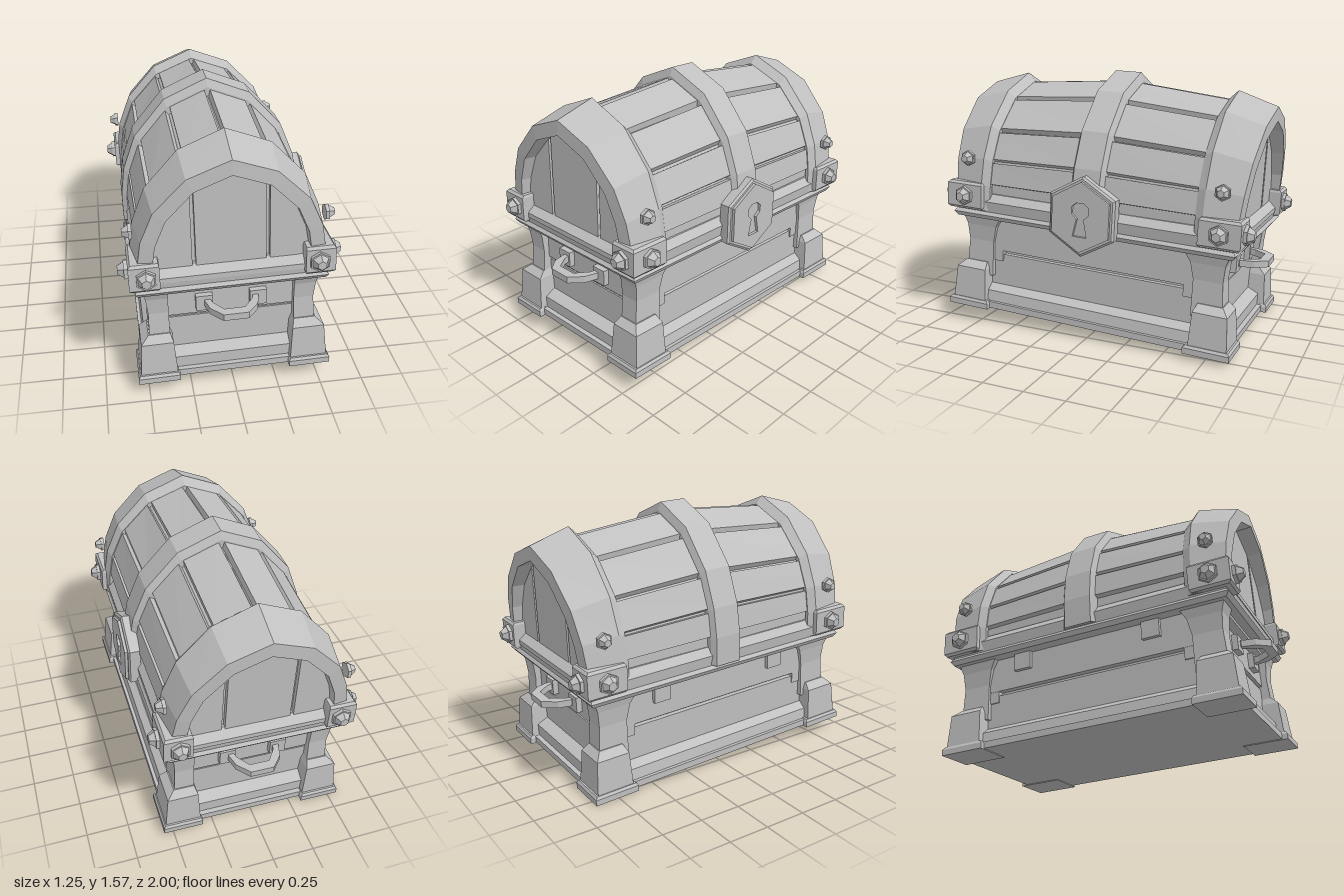
import * as THREE from 'three';

const grey = new THREE.MeshStandardMaterial({ color: 0xc0c0c0, flatShading: true });
grey.name = 'plain grey';

function add(parent, name, geometry, x = 0, y = 0, z = 0) {
  const m = new THREE.Mesh(geometry, grey);
  m.name = name;
  m.position.set(x, y, z);
  parent.add(m);
  return m;
}

// Box given by its two corners
function block(parent, name, [x0, y0, z0], [x1, y1, z1]) {
  return add(parent, name, new THREE.BoxGeometry(x1 - x0, y1 - y0, z1 - z0),
    (x0 + x1) / 2, (y0 + y1) / 2, (z0 + z1) / 2);
}

// Closed solid through rings of [x, y, z] points, turned so that faces look outward
function loft(rings) {
  const tris = [], n = rings[0].length;
  for (let r = 0; r + 1 < rings.length; r++) {
    for (let i = 0; i < n; i++) {
      const j = (i + 1) % n, a = rings[r], b = rings[r + 1];
      tris.push([a[i], a[j], b[j]], [a[i], b[j], b[i]]);
    }
  }
  const first = rings[0], last = rings[rings.length - 1];
  for (let i = 1; i + 1 < n; i++) {
    tris.push([first[0], first[i + 1], first[i]], [last[0], last[i], last[i + 1]]);
  }
  let volume = 0;
  const [a, b, c] = [0, 0, 0].map(() => new THREE.Vector3());
  for (const t of tris) volume += a.set(...t[0]).dot(b.set(...t[1]).cross(c.set(...t[2])));
  if (volume < 0) tris.forEach((t) => t.reverse());
  const g = new THREE.BufferGeometry();
  g.setAttribute('position', new THREE.Float32BufferAttribute(tris.flat(2), 3));
  g.computeVertexNormals();
  return g;
}

// Stack of rectangles [y, x0, x1, z0, z1]
const stack = (levels) => loft(levels.map(([y, x0, x1, z0, z1]) =>
  [[x0, y, z0], [x1, y, z0], [x1, y, z1], [x0, y, z1]]));

// Eight-sided lid arch: half width w, crown height top
const ARCH_X = [1, 1, 0.955, 0.81, 0.465, 0];
const ARCH_T = [-0.12, 0.1, 0.32, 0.585, 0.862, 1];
function arch(w, top) {
  const half = ARCH_X.map((x, i) => [w * x, 0.72 + (top - 0.72) * ARCH_T[i]]);
  return half.concat(half.slice(0, 5).reverse().map(([x, y]) => [-x, y]));
}

// Strap over the arch; profile rows are [z, width, top, outward lean]
function strap(profile) {
  const arches = profile.map(([, w, top]) => arch(w, top));
  return loft(arches[0].map((_, i) => profile.map(([z, , , lean = 0], k) => {
    const [x, y] = arches[k][i];
    return [x, y, z + lean * (y - 0.72)];
  })));
}

function extrude(points, depth, hole) {
  const s = new THREE.Shape(points.map(([x, y]) => new THREE.Vector2(x, y)));
  if (hole) s.holes.push(new THREE.Path(hole.map(([x, y]) => new THREE.Vector2(x, y))));
  return new THREE.ExtrudeGeometry(s, { depth, bevelEnabled: false });
}

// Hexagonal bolt whose axis points along local +z
function bolt(parent, r, x, y, z, turn) {
  const g = new THREE.Group();
  g.name = 'bolt';
  const parts = [['boltWasher', r, r, 0.02, 0.01], ['boltHead', r * 0.45, r * 0.85, 0.035, 0.037]];
  for (const [name, r0, r1, h, d] of parts) {
    add(g, name, new THREE.CylinderGeometry(r0, r1, h, 6).rotateX(Math.PI / 2), 0, 0, d);
  }
  g.position.set(x, y, z);
  g.rotation.y = turn;
  parent.add(g);
}

// Everything on one short end: strap, end boards, frame, handle, corners
function chestEnd() {
  const g = new THREE.Group();
  g.name = 'chestEnd';
  add(g, 'endStrap', strap([[0.66, 0.5, 1.37], [0.66, 0.522, 1.405], [0.71, 0.545, 1.455],
    [0.9, 0.515, 1.38, 0.08], [0.91, 0.435, 1.295, 0.08], [0.82, 0.43, 1.29]]));

  // Three upright boards closing the lid
  const y = 0.68;
  const mid = [[-0.195, y], [0.195, y], [0.195, 1.235], [0, 1.31], [-0.195, 1.235]];
  add(g, 'lidEndBoard', extrude(mid, 0.04), 0, 0, 0.82);
  const side = [[0.215, y], [0.45, y], [0.44, 0.92], [0.36, 1.08], [0.215, 1.23]];
  for (const s of [1, -1]) {
    const pts = side.map(([px, py]) => [px * s, py]);
    add(g, 'lidEndBoard', extrude(pts, 0.04), 0, 0, 0.82);
  }

  // Sloping sill under the boards
  add(g, 'lidSill', loft([-0.5, -0.2, 0.2, 0.5].map((x) => {
    const h = Math.abs(x) > 0.3 ? 0.745 : 0.715;
    return [[x, 0.66, 0.84], [x, 0.66, 0.905], [x, 0.69, 0.905], [x, h, 0.85]];
  })));

  // Lower frame and boards
  block(g, 'endBoardUpper', [-0.36, 0.37, 0.7], [0.36, 0.58, 0.8]);
  block(g, 'endBoardLower', [-0.36, 0.05, 0.7], [0.36, 0.35, 0.79]);
  add(g, 'endLowerRail', stack([[0.04, -0.36, 0.36, 0.74, 0.86],
    [0.115, -0.36, 0.36, 0.74, 0.86], [0.15, -0.36, 0.36, 0.74, 0.785]]));
  add(g, 'endUpperRail', stack([[0.53, -0.36, 0.36, 0.74, 0.8],
    [0.555, -0.36, 0.36, 0.74, 0.84], [0.59, -0.36, 0.36, 0.74, 0.84]]));

  // Carrying handle
  for (const s of [1, -1]) {
    block(g, 'handlePlate', [s * 0.155 - 0.048, 0.405, 0.78], [s * 0.155 + 0.048, 0.5, 0.835]);
  }
  const path = [[-0.155, 0.82], [-0.135, 0.9], [-0.07, 0.975], [0.07, 0.975], [0.135, 0.9], [0.155, 0.82]];
  add(g, 'handle', loft(path.map(([x, z]) => {
    const k = x * 0.84, zi = z - 0.035;
    return [[x, 0.435, z + 0.02], [x, 0.475, z + 0.02], [k, 0.475, zi], [k, 0.435, zi]];
  })));

  for (const s of [1, -1]) {
    const span = (a, b) => (s > 0 ? [a, b] : [-b, -a]);
    // Corner post with flared top, and its foot
    add(g, 'cornerPost', stack([[0.2, ...span(0.36, 0.48), 0.66, 0.85],
      [0.42, ...span(0.36, 0.475), 0.66, 0.835], [0.52, ...span(0.36, 0.485), 0.64, 0.845],
      [0.59, ...span(0.36, 0.5), 0.6, 0.87]]));
    add(g, 'cornerFoot', stack([[0.04, ...span(0.33, 0.545), 0.675, 0.905],
      [0.245, ...span(0.345, 0.53), 0.685, 0.89], [0.285, ...span(0.36, 0.485), 0.7, 0.85]]));
    add(g, 'footPlate', stack([[0, ...span(0.32, 0.56), 0.65, 0.925],
      [0.035, ...span(0.32, 0.56), 0.65, 0.925], [0.05, ...span(0.33, 0.55), 0.66, 0.915]]));
    // Lid corner bracket with its bolts
    add(g, 'cornerBracket', stack([[0.635, ...span(0.405, 0.555), 0.705, 0.925],
      [0.65, ...span(0.4, 0.568), 0.695, 0.938], [0.79, ...span(0.4, 0.568), 0.695, 0.938],
      [0.805, ...span(0.405, 0.555), 0.705, 0.925]]));
    bolt(g, 0.06, s * 0.475, 0.72, 0.938, 0);
    bolt(g, 0.06, s * 0.568, 0.72, 0.815, s * Math.PI / 2);
    bolt(g, 0.048, s * 0.527, 0.95, 0.81, s * Math.PI / 2);
  }
  return g;
}

export function createModel() {
  const root = new THREE.Group();
  root.name = 'chest';
  const chest = new THREE.Group();
  chest.name = 'tiltedChest';
  chest.rotation.set(-0.043, 0, 0.025);
  chest.position.set(0, 0.055, 0.025);
  root.add(chest);

  for (const turn of [0, Math.PI]) {
    const end = chestEnd();
    end.rotation.y = turn;
    chest.add(end);
  }

  // Body and base
  block(chest, 'baseSlab', [-0.53, 0.005, -0.89], [0.53, 0.045, 0.89]);
  block(chest, 'bodyCore', [-0.42, 0.04, -0.78], [0.42, 0.59, 0.78]);
  for (const s of [1, -1]) {
    const span = (a, b) => (s > 0 ? [a, b] : [-b, -a]);
    add(chest, 'sideLowerRail', stack([[0.04, ...span(0.4, 0.51), -0.69, 0.69],
      [0.11, ...span(0.4, 0.5), -0.69, 0.69], [0.145, ...span(0.4, 0.455), -0.69, 0.69]]));
    add(chest, 'sideLowerBoard', stack([[0.1, ...span(0.4, 0.45), -0.68, 0.68],
      [0.345, ...span(0.4, 0.45), -0.68, 0.68]]));
    add(chest, 'sideUpperBoard', stack([[0.37, ...span(0.4, 0.46), -0.68, 0.68],
      [0.59, ...span(0.4, 0.46), -0.68, 0.68]]));
    for (const e of [1, -1]) {
      block(chest, 'sideBoardTab', [s * 0.44 - 0.018, 0.3, e * 0.645 - 0.045],
        [s * 0.44 + 0.018, 0.4, e * 0.645 + 0.045]);
    }
  }

  // Lid rim
  add(chest, 'lidRim', stack([[0.575, 0.5, 0.86], [0.578, 0.525, 0.89], [0.605, 0.54, 0.91],
    [0.625, 0.525, 0.895], [0.69, 0.535, 0.905], [0.735, 0.5, 0.85]]
    .map(([y, w, d]) => [y, -w, w, -d, d])));

  // Lid core and bowed planks with bevelled edges
  const section = (w, top, z) => arch(w, top).map(([x, y]) => [x, y, z]);
  add(chest, 'lidCore', loft([section(0.485, 1.355, -0.83), section(0.495, 1.42, 0), section(0.485, 1.355, 0.83)]));
  const mix = (p, q, t) => [p[0] + (q[0] - p[0]) * t, p[1] + (q[1] - p[1]) * t];
  for (let i = 1; i < 9; i++) {
    const rings = [[-0.72, 0.515, 1.4], [0, 0.527, 1.465], [0.72, 0.515, 1.4]].map(([z, w, top]) => {
      const outer = arch(w, top), inner = arch(w - 0.035, top - 0.045);
      return [mix(inner[i], inner[i + 1], 0.03), mix(outer[i], outer[i + 1], 0.07),
        mix(outer[i], outer[i + 1], 0.93), mix(inner[i], inner[i + 1], 0.97)].map(([x, y]) => [x, y, z]);
    });
    add(chest, 'lidPlank', loft(rings));
  }
  add(chest, 'middleStrap', strap([[-0.105, 0.48, 1.4], [-0.105, 0.525, 1.465], [-0.085, 0.555, 1.515],
    [0.085, 0.555, 1.515], [0.105, 0.525, 1.465], [0.105, 0.48, 1.4]]));

  // Hexagonal lock plate with keyhole
  const lock = new THREE.Group();
  lock.name = 'lock';
  const hex = (r) => Array.from({ length: 6 }, (_, i) => [r * Math.sin(i * Math.PI / 3), r * Math.cos(i * Math.PI / 3)]);
  const hole = [[-0.045, -0.115], [0.045, -0.115], [0.022, -0.01], [0.055, 0.02], [0.055, 0.06],
    [0.025, 0.085], [-0.025, 0.085], [-0.055, 0.06], [-0.055, 0.02], [-0.022, -0.01]];
  const ring = (r, z) => hex(r).map(([x, y]) => [x, y, z]);
  add(lock, 'lockPlate', loft([ring(0.235, -0.02), ring(0.24, 0.045), ring(0.225, 0.055)]));
  add(lock, 'lockFace', extrude(hex(0.21), 0.022, hole), 0, 0, 0.05);
  lock.position.set(0.535, 0.705, 0);
  lock.rotation.y = Math.PI / 2;
  chest.add(lock);

  // Hinges on the far side
  for (const z of [-0.42, 0.42]) {
    block(chest, 'hinge', [-0.485, 0.47, z - 0.055], [-0.44, 0.59, z + 0.055]);
  }
  return root;
}
